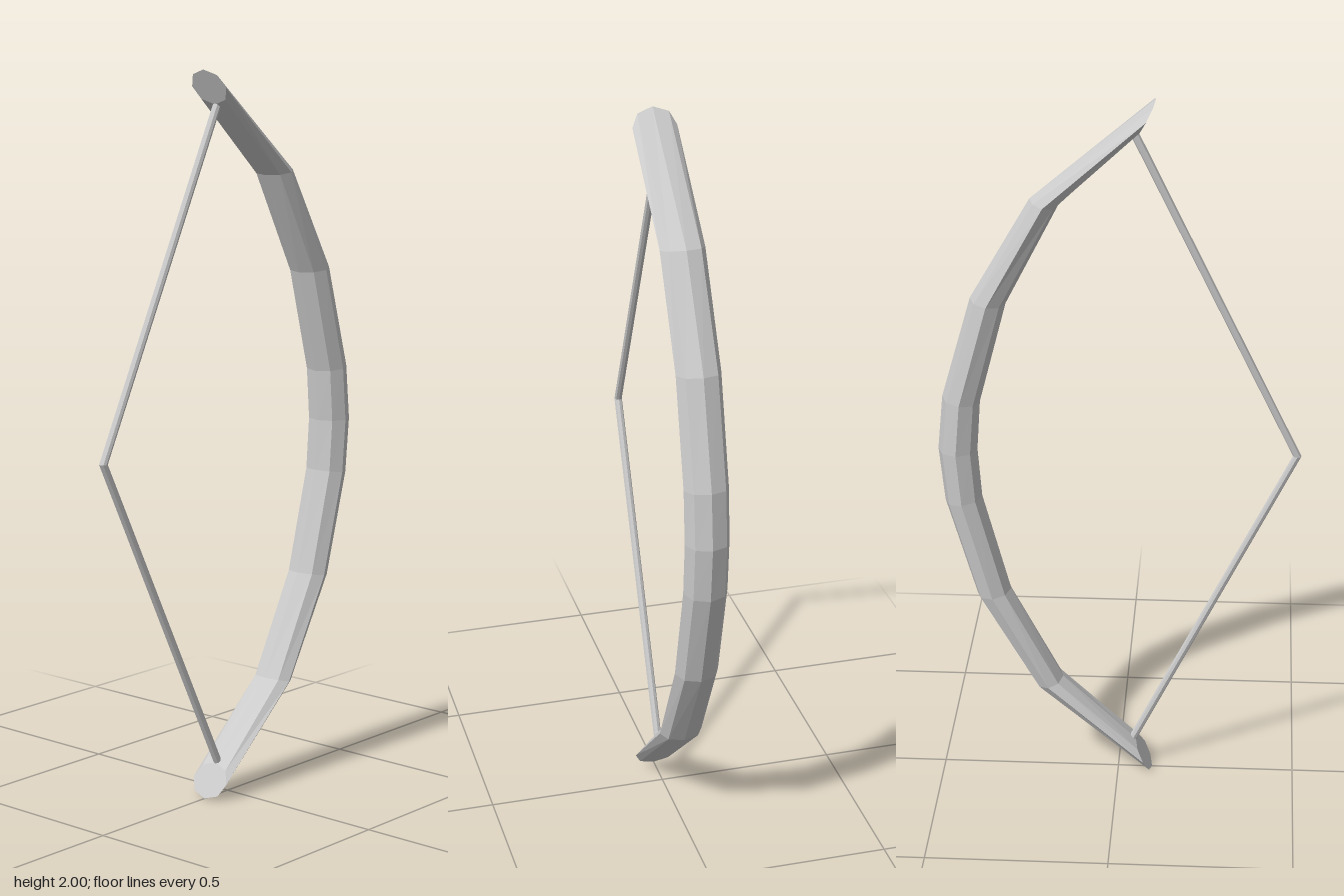
import * as THREE from 'three';

const SIDES = 8;

// Sweeps an eight-sided section through rings given as [innerX, innerY, outerX, outerY], bottom to top
function sweep(name, rings, halfDepth) {
  const pos = [], index = [];
  for (const [ix, iy, ox, oy] of rings) {
    for (let i = 0; i < SIDES; i++) {
      const a = (i / SIDES) * Math.PI * 2;
      const t = (1 + Math.cos(a)) / 2;
      pos.push(ix + (ox - ix) * t, iy + (oy - iy) * t, halfDepth * Math.sin(a));
    }
  }
  for (let r = 0; r < rings.length - 1; r++) {
    for (let i = 0; i < SIDES; i++) {
      const a = r * SIDES + i, b = r * SIDES + (i + 1) % SIDES;
      index.push(a, a + SIDES, b, b, a + SIDES, b + SIDES);
    }
  }
  // End caps
  const last = (rings.length - 1) * SIDES;
  for (let i = 1; i < SIDES - 1; i++) {
    index.push(0, i, i + 1, last, last + i + 1, last + i);
  }
  const geo = new THREE.BufferGeometry();
  geo.setAttribute('position', new THREE.Float32BufferAttribute(pos, 3));
  geo.setIndex(index);
  const flat = geo.toNonIndexed();
  flat.computeVertexNormals();
  const mesh = new THREE.Mesh(flat, new THREE.MeshStandardMaterial({
    color: 0xcccccc, flatShading: true, side: THREE.DoubleSide,
  }));
  mesh.name = name;
  return mesh;
}

// Mirrors the upper half (listed from the middle up) about y = 1
function mirrored(upper) {
  const lower = upper.slice(1).reverse().map(([ix, iy, ox, oy]) => [ix, 2 - iy, ox, 2 - oy]);
  return [...lower, ...upper];
}

export function createModel() {
  const bow = new THREE.Group();
  bow.name = 'bow';

  // Curved stave with slanted, thinning tips
  bow.add(sweep('stave', mirrored([
    [0.385, 1, 0.492, 1],
    [0.375, 1.142, 0.477, 1.155],
    [0.3, 1.428, 0.395, 1.442],
    [0.157, 1.706, 0.232, 1.723],
    [-0.05, 1.905, -0.097, 1.998],
  ]), 0.06));

  // Drawn string, bent at the middle
  bow.add(sweep('string', mirrored([
    [-0.497, 1, -0.474, 1],
    [-0.05, 1.912, -0.03, 1.902],
  ]), 0.011));

  return bow;
}
